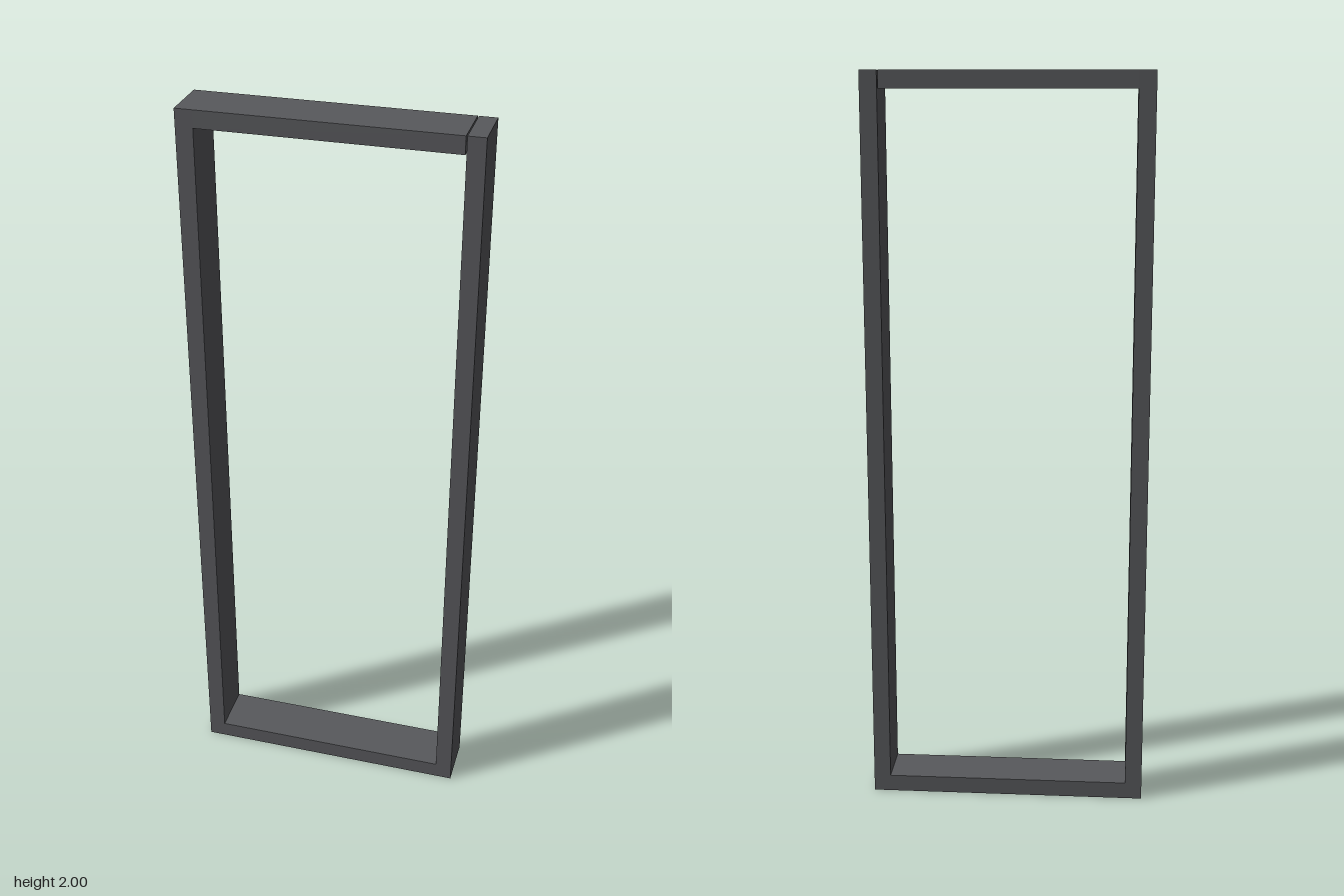
import * as THREE from 'three';

const W = 0.76, H = 2, D = 0.141, T = 0.046; // outer size and bar thickness
const SEAM = 0.003; // hairline joint at the top of the left post

export function createModel() {
  const group = new THREE.Group();
  group.name = 'doorFrame';
  const material = new THREE.MeshStandardMaterial({ color: 0x58595c });

  // A square-edged bar spanning x0..x1 and y0..y1
  const bar = (name, x0, x1, y0, y1) => {
    const mesh = new THREE.Mesh(new THREE.BoxGeometry(x1 - x0, y1 - y0, D), material);
    mesh.position.set((x0 + x1) / 2, (y0 + y1) / 2, 0);
    mesh.name = name;
    group.add(mesh);
  };

  const inner = W / 2 - T;
  // Full-height posts
  bar('rightPost', -W / 2, -inner, 0, H);
  bar('leftPost', inner, W / 2, 0, H);
  // Rails between the posts
  bar('topRail', -inner, inner - SEAM, H - T, H);
  bar('bottomRail', -inner, inner, 0, T);

  return group;
}
